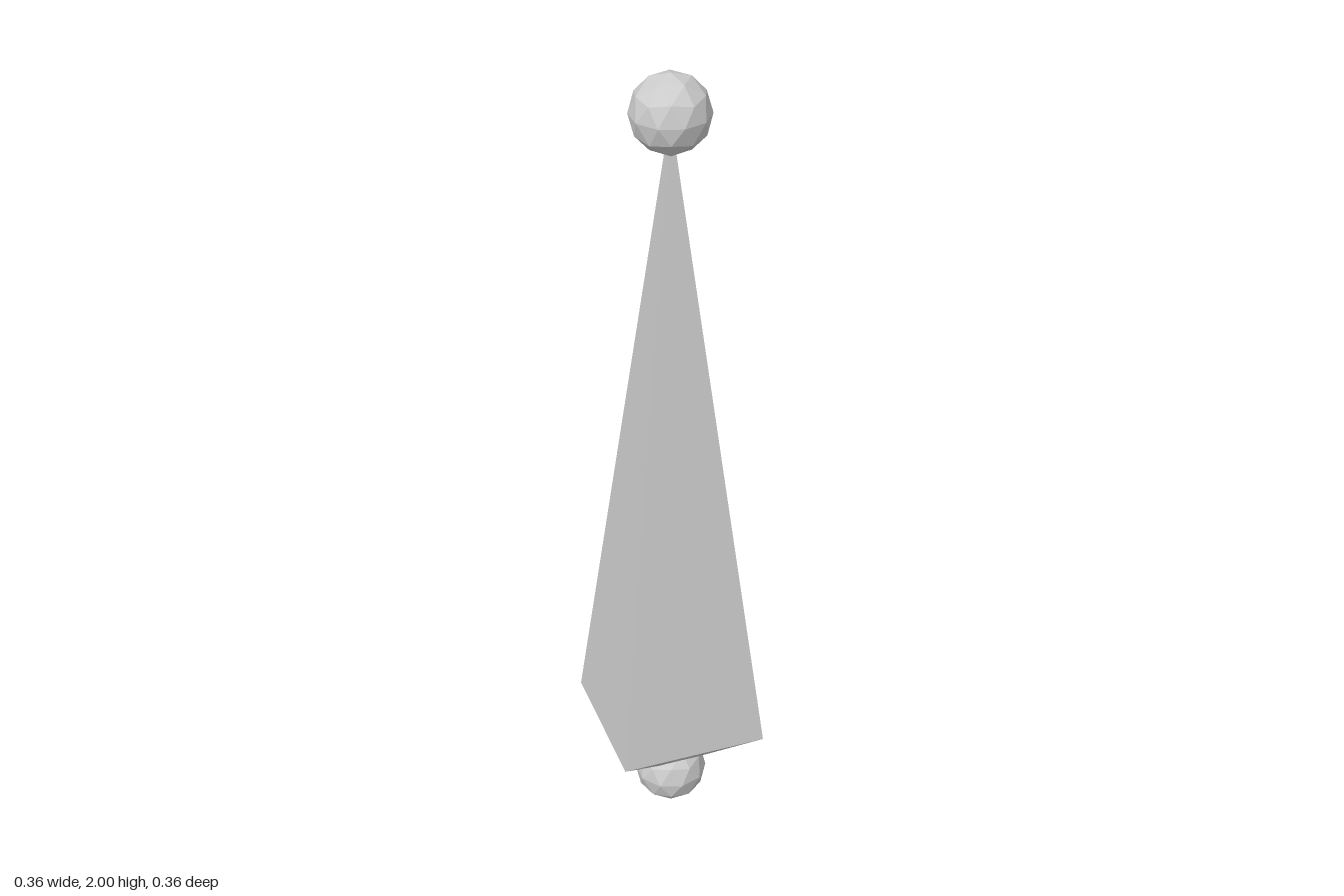
import * as THREE from 'three';

const JOINT_RADIUS = 0.0909;
const HALF_WIDTH = 0.1818;
const TAIL_Y = 2 - JOINT_RADIUS;

export function createModel() {
  const model = new THREE.Group();
  model.name = 'bone';
  const material = new THREE.MeshStandardMaterial({ color: 0xcccccc, flatShading: true });

  // Four-sided body: short flare from the lower joint, long taper to the upper one
  const profile = [
    new THREE.Vector2(0, JOINT_RADIUS),
    new THREE.Vector2(HALF_WIDTH * Math.SQRT2, JOINT_RADIUS + HALF_WIDTH),
    new THREE.Vector2(0, TAIL_Y),
  ];
  const body = new THREE.Mesh(new THREE.LatheGeometry(profile, 4, Math.PI / 4), material);
  body.name = 'body';
  model.add(body);

  // Faceted joint balls, turned so that a corner points straight up
  const ball = new THREE.IcosahedronGeometry(JOINT_RADIUS, 1);
  ball.rotateZ(-Math.atan(2 / (1 + Math.sqrt(5))));
  for (const [name, y] of [['lowerJoint', JOINT_RADIUS], ['upperJoint', TAIL_Y]]) {
    const joint = new THREE.Mesh(ball, material);
    joint.name = name;
    joint.position.y = y;
    model.add(joint);
  }

  return model;
}
